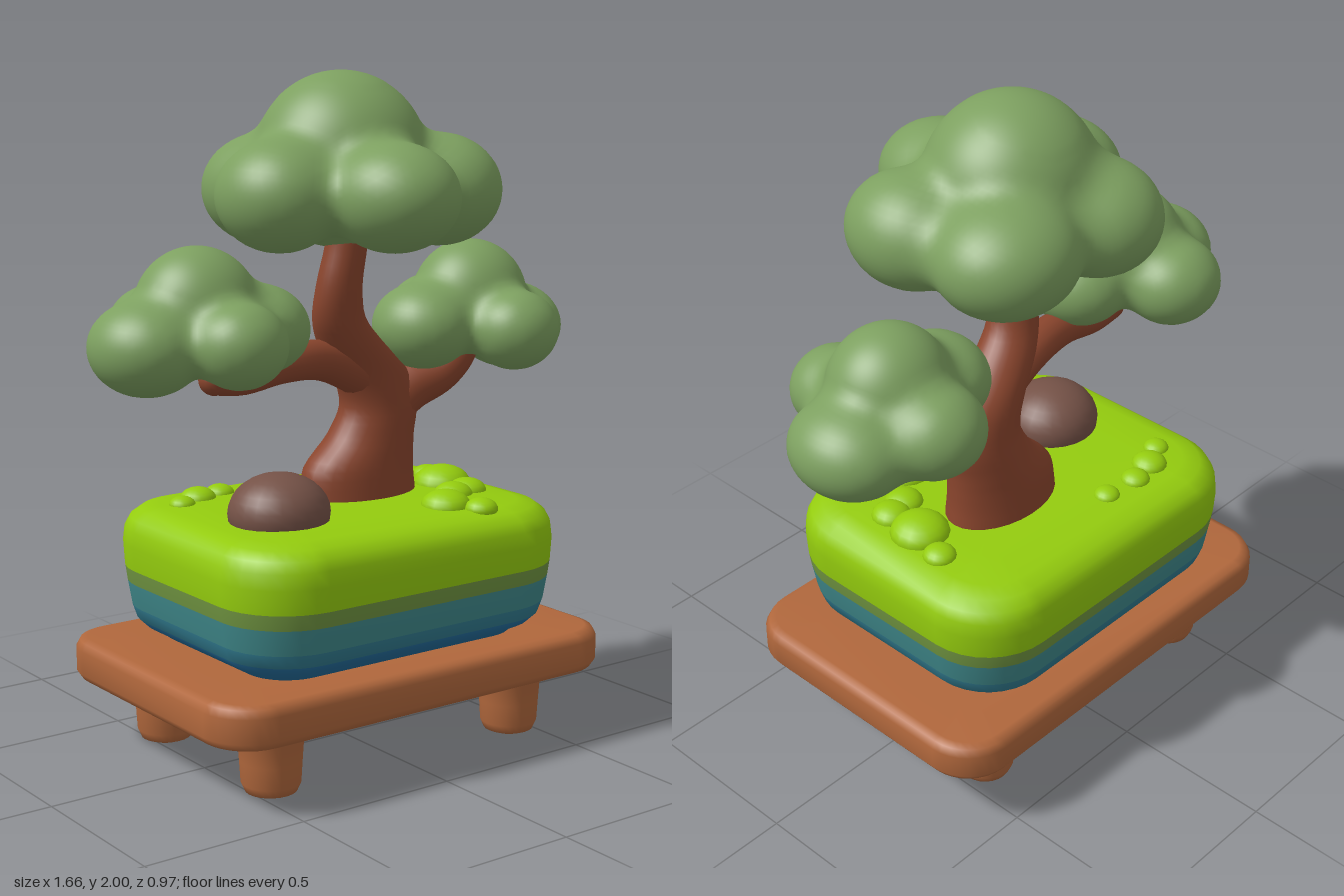
import * as THREE from 'three';
import { mergeVertices } from 'three/addons/utils/BufferGeometryUtils.js';

const mat = (name, color) => {
  const m = new THREE.MeshStandardMaterial({ color });
  m.name = name;
  return m;
};

// Outline of a rounded rectangle, hw x hd half size, corner radius r
function roundRect(hw, hd, r) {
  const pts = [];
  [[1, 1], [-1, 1], [-1, -1], [1, -1]].forEach(([sx, sz], q) => {
    for (let i = 0; i <= 8; i++) {
      const a = (q + i / 8) * Math.PI / 2;
      pts.push([sx * (hw - r) + r * Math.cos(a), sz * (hd - r) + r * Math.sin(a)]);
    }
  });
  return pts;
}

function ellipse(rx, rz, n = 28) {
  return Array.from({ length: n }, (_, i) => {
    const a = i / n * Math.PI * 2;
    return [rx * Math.cos(a), rz * Math.sin(a)];
  });
}

// Closed loft through horizontal sections {x, y, z, pts, m}; m is the material index of the band above
function loft(sections) {
  const n = sections[0].pts.length, pos = [], idx = [];
  const g = new THREE.BufferGeometry();
  sections.forEach(s => s.pts.forEach(([x, z]) => pos.push(x + s.x, s.y, z + s.z)));
  const last = sections.length - 1, base = n * sections.length;
  for (const s of [sections[0], sections[last]]) pos.push(s.x, s.y, s.z);
  const start0 = sections[0].m || 0;
  for (let j = 0; j < n; j++) idx.push(base, j, (j + 1) % n);
  g.addGroup(0, idx.length, start0);
  for (let i = 0; i < last; i++) {
    const from = idx.length;
    for (let j = 0; j < n; j++) {
      const k = (j + 1) % n, a = i * n + j, b = i * n + k;
      idx.push(a, a + n, b + n, a, b + n, b);
    }
    g.addGroup(from, idx.length - from, sections[i].m || 0);
  }
  const from = idx.length;
  for (let j = 0; j < n; j++) idx.push(base + 1, last * n + (j + 1) % n, last * n + j);
  g.addGroup(from, idx.length - from, sections[last].m || 0);
  g.setAttribute('position', new THREE.Float32BufferAttribute(pos, 3));
  g.setIndex(idx);
  g.computeVertexNormals();
  return g;
}

// Smoothly merged ellipsoids [x, y, z, rx, ry, rz], shrink-wrapped by a sphere around c
function cluster(c, lobes, k) {
  const dist = (x, y, z) => {
    let d = 9;
    for (const [lx, ly, lz, a, b, e] of lobes) {
      const q = (Math.hypot((x - lx) / a, (y - ly) / b, (z - lz) / e) - 1) * Math.min(a, b, e);
      const h = Math.max(k - Math.abs(d - q), 0) / k;
      d = Math.min(d, q) - h * h * k / 4;
    }
    return d;
  };
  let g = new THREE.IcosahedronGeometry(1, 20);
  g.deleteAttribute('normal');
  g.deleteAttribute('uv');
  g = mergeVertices(g, 1e-4);
  const p = g.attributes.position, v = new THREE.Vector3();
  for (let i = 0; i < p.count; i++) {
    v.fromBufferAttribute(p, i).normalize();
    let t = 0.75;
    for (let s = 0; s < 120 && t > 0.02; s++) {
      const d = dist(c[0] + v.x * t, c[1] + v.y * t, c[2] + v.z * t);
      if (d < 0.001) break;
      t -= Math.max(d * 0.8, 0.001);
    }
    p.setXYZ(i, c[0] + v.x * t, c[1] + v.y * t, c[2] + v.z * t);
  }
  g.computeVertexNormals();
  return g;
}

// Tube that tapers from r0 to r1 along a smooth path
function branchGeometry(points, r0, r1) {
  const curve = new THREE.CatmullRomCurve3(points.map(p => new THREE.Vector3(...p)));
  const g = new THREE.TubeGeometry(curve, 24, 1, 16);
  const p = g.attributes.position, c = new THREE.Vector3(), v = new THREE.Vector3();
  for (let i = 0; i < p.count; i++) {
    const t = Math.floor(i / 17) / 24;
    curve.getPointAt(t, c);
    v.fromBufferAttribute(p, i).sub(c).multiplyScalar(r0 + (r1 - r0) * t).add(c);
    p.setXYZ(i, v.x, v.y, v.z);
  }
  return g;
}

export function createModel() {
  const root = new THREE.Group();
  const wood = mat('stand wood', 0xb0673c), bark = mat('bark', 0x8a452d);
  const leaf = mat('leaf green', 0x7da060), stone = mat('stone', 0x755247);
  const moss = mat('moss green', 0x94cc0e), olive = mat('olive glaze', 0x6f9340);
  const teal = mat('teal glaze', 0x3f888a), deep = mat('deep teal glaze', 0x317a8e);
  const blue = mat('blue glaze', 0x246d9c);
  const add = (name, geo, material) => {
    const m = new THREE.Mesh(geo, material);
    m.name = name;
    root.add(m);
    return m;
  };

  // Stand: rounded slab on four stubby legs
  const slab = [[0.2, 0.2], [0.2, 0.035], [0.208, 0.015], [0.23, 0], [0.3, 0], [0.322, 0.012], [0.33, 0.035], [0.33, 0.2]];
  add('standTop', loft(slab.map(([y, i]) => ({
    x: -0.01, y, z: -0.01, pts: roundRect(0.695 - i, 0.48 - i, Math.max(0.15 - i, 0.01)),
  }))), wood);
  const legProfile = [[0, 0], [0.05, 0], [0.075, 0.01], [0.086, 0.035], [0.09, 0.1], [0.095, 0.17], [0.11, 0.2], [0.11, 0.22]]
    .map(([x, y]) => new THREE.Vector2(x, y));
  for (const [x, z] of [[-0.45, 0.27], [0.43, 0.27], [-0.455, -0.285], [0.41, -0.285]]) {
    add('standLeg', new THREE.LatheGeometry(legProfile, 24), wood).position.set(x, 0, z);
  }

  // Pot in glaze bands, topped by a thick moss cushion: [y, inset, band]
  const pot = [[0.325, 0.12, 0], [0.345, 0.1, 0], [0.365, 0.06, 0], [0.39, 0.035, 1], [0.43, 0.022, 2],
    [0.505, 0.01, 3], [0.55, 0.004, 4], [0.62, 0, 4], [0.665, 0.005, 4], [0.695, 0.02, 4],
    [0.718, 0.05, 4], [0.73, 0.1, 4], [0.734, 0.22, 4]];
  add('pot', loft(pot.map(([y, i, m]) => ({
    x: -0.012, y, z: -0.008, m, pts: roundRect(0.574 - i, 0.449 - i, Math.max(0.22 - i * 0.8, 0.04)),
  }))), [blue, deep, teal, olive, moss]);

  // Trunk: sections [x, y, z, rx, rz], smoothed into many rings
  const trunk = [[0.095, 0.71, -0.055, 0.2, 0.13], [0.098, 0.82, -0.053, 0.187, 0.12], [0.14, 0.91, -0.05, 0.145, 0.108],
    [0.165, 1.0, -0.045, 0.128, 0.098], [0.13, 1.1, -0.04, 0.125, 0.09], [0.04, 1.2, -0.02, 0.105, 0.08],
    [-0.015, 1.28, 0, 0.083, 0.07], [-0.028, 1.38, 0.02, 0.07, 0.064], [-0.01, 1.5, 0.03, 0.063, 0.06], [0, 1.62, 0.03, 0.06, 0.06]];
  const centre = new THREE.CatmullRomCurve3(trunk.map(t => new THREE.Vector3(t[0], t[1], t[2])));
  const radii = new THREE.CatmullRomCurve3(trunk.map(t => new THREE.Vector3(t[3], t[4], 0)));
  add('trunk', loft(Array.from({ length: 37 }, (_, i) => {
    const c = centre.getPoint(i / 36), r = radii.getPoint(i / 36);
    return { x: c.x, y: c.y, z: c.z, pts: ellipse(r.x, r.y) };
  })), bark);

  // Side branches with rounded tips
  const branches = [
    ['rightBranch', [[0.1, 1.09, -0.03], [-0.06, 1.155, -0.02], [-0.22, 1.16, 0], [-0.36, 1.135, 0], [-0.45, 1.14, 0]], 0.068, 0.046],
    ['leftBranch', [[0.17, 0.98, -0.04], [0.27, 1.04, -0.03], [0.37, 1.08, -0.01], [0.43, 1.13, 0], [0.48, 1.22, 0]], 0.085, 0.05],
  ];
  for (const [name, path, r0, r1] of branches) {
    add(name, branchGeometry(path, r0, r1), bark);
    add(name + 'Tip', new THREE.SphereGeometry(r1, 16, 12), bark).position.set(...path[path.length - 1]);
  }

  // Foliage clouds
  add('topFoliage', cluster([0, 1.67, 0], [
    [0, 1.74, -0.01, 0.255, 0.255, 0.25], [-0.26, 1.65, 0.05, 0.178, 0.16, 0.19], [0.265, 1.65, 0.11, 0.178, 0.165, 0.2],
    [-0.03, 1.65, 0.28, 0.18, 0.155, 0.2], [0.2, 1.65, -0.18, 0.215, 0.165, 0.2], [-0.13, 1.65, -0.2, 0.19, 0.165, 0.2],
  ], 0.06), leaf);
  add('rightFoliage', cluster([-0.5, 1.27, 0], [
    [-0.5, 1.34, -0.01, 0.18, 0.18, 0.17], [-0.67, 1.25, 0, 0.16, 0.135, 0.17], [-0.32, 1.275, 0.02, 0.15, 0.13, 0.16],
    [-0.48, 1.26, 0.18, 0.135, 0.12, 0.13], [-0.52, 1.27, -0.18, 0.15, 0.13, 0.145],
  ], 0.05), leaf);
  add('leftFoliage', cluster([0.49, 1.23, 0], [
    [0.49, 1.3, -0.01, 0.18, 0.18, 0.17], [0.67, 1.2, -0.04, 0.16, 0.135, 0.18], [0.3, 1.23, 0, 0.15, 0.13, 0.16],
    [0.51, 1.22, 0.18, 0.135, 0.12, 0.13], [0.49, 1.23, -0.18, 0.15, 0.13, 0.145],
  ], 0.05), leaf);

  // Boulder and moss tufts
  const rock = add('rock', new THREE.SphereGeometry(1, 24, 16), stone);
  rock.scale.set(0.15, 0.115, 0.145);
  rock.position.set(-0.3, 0.755, 0.1);
  const tufts = [[0.2, 0.24, 0.075], [0.38, 0, 0.09], [0.31, 0.14, 0.06], [0.38, 0.12, 0.06], [0.26, 0.33, 0.05],
    [0.42, -0.12, 0.05], [-0.34, -0.27, 0.055], [-0.25, -0.29, 0.045], [-0.42, -0.23, 0.04], [-0.13, -0.28, 0.04]];
  for (const [x, z, r] of tufts) {
    const t = add('mossTuft', new THREE.SphereGeometry(r, 16, 12), moss);
    t.position.set(x, 0.73, z);
    t.scale.y = 0.65;
  }
  return root;
}
